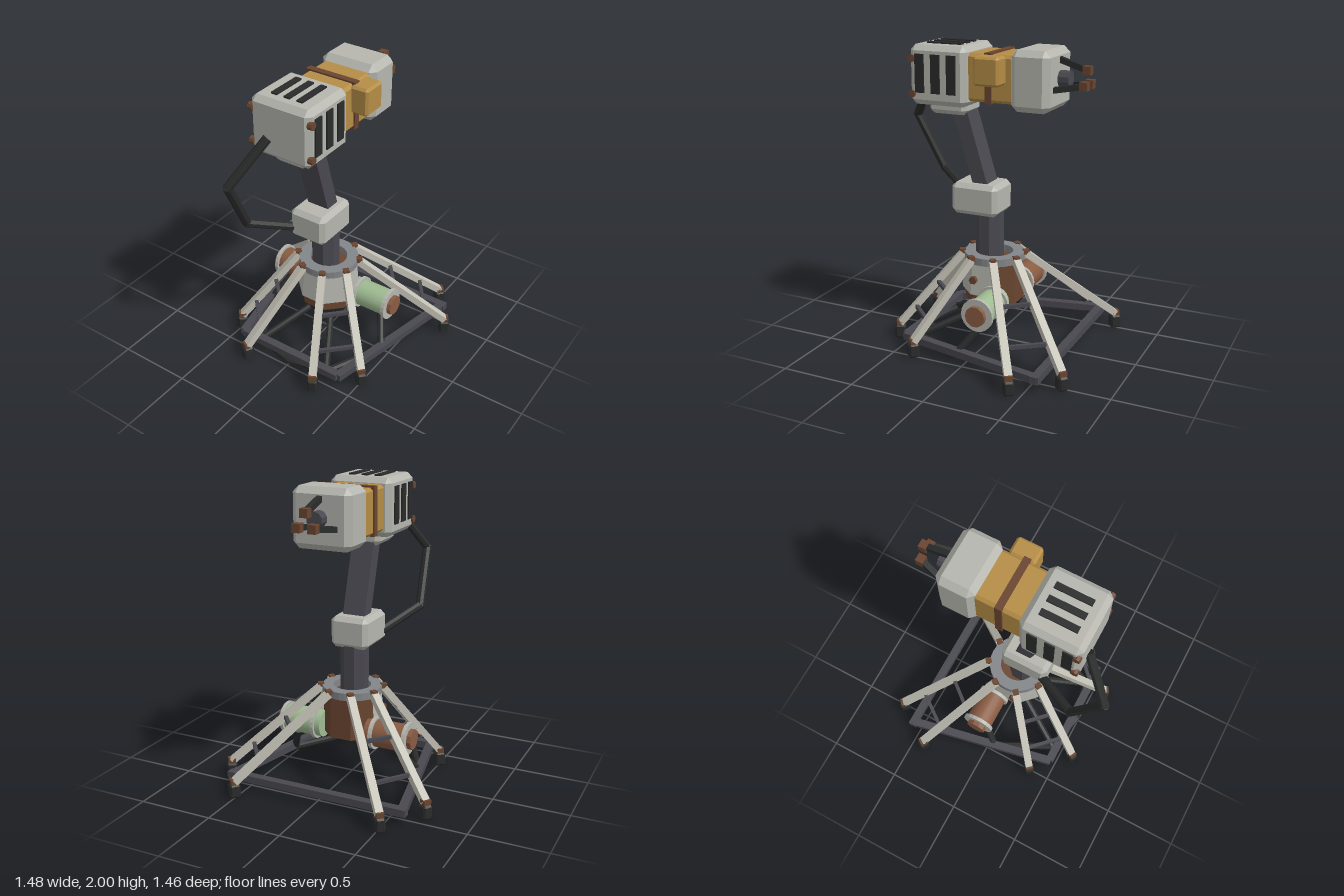
import * as THREE from 'three';
import { ConvexGeometry } from 'three/addons/geometries/ConvexGeometry.js';

const mat = (name, color) => {
  const m = new THREE.MeshStandardMaterial({ color });
  m.name = name;
  return m;
};

export function createModel() {
  const root = new THREE.Group();
  root.name = 'robotArmOnLegs';
  const shell = mat('shell grey', 0xb6b6af);
  const bone = mat('leg bone', 0xc3c1b5);
  const gold = mat('gold', 0xb58d46);
  const brown = mat('dark brown', 0x6a4530);
  const rust = mat('rust brown', 0x8a5c43);
  const dark = mat('dark frame', 0x4a4850);
  const black = mat('black', 0x2a2b2b);
  const green = mat('pale green', 0x9fbc92);
  const steel = mat('steel', 0x83868a);
  const V = (p) => new THREE.Vector3(...p);

  const add = (name, geo, material, pos = [0, 0, 0], parent = root) => {
    const m = new THREE.Mesh(geo, material);
    m.name = name;
    m.position.set(...pos);
    parent.add(m);
    return m;
  };

  // Box between two corners with all edges bevelled by c
  const bevelBox = (name, material, lo, hi, c, parent = root) => {
    const mid = lo.map((v, i) => (v + hi[i]) / 2);
    const h = lo.map((v, i) => (hi[i] - v) / 2);
    const pts = [];
    for (const x of [-1, 1]) for (const y of [-1, 1]) for (const z of [-1, 1]) {
      for (let k = 0; k < 3; k++) {
        pts.push(V([x, y, z].map((s, i) => s * (h[i] - (i === k ? 0 : c)))));
      }
    }
    return add(name, new ConvexGeometry(pts), material, mid, parent);
  };

  const box = (name, material, lo, hi) => add(name,
    new THREE.BoxGeometry(...lo.map((v, i) => hi[i] - v)), material, lo.map((v, i) => (v + hi[i]) / 2));

  // Square beam from a to b
  const beam = (name, material, a, b, w, d = w) => {
    const A = V(a), B = V(b);
    const m = add(name, new THREE.BoxGeometry(w, d, A.distanceTo(B)), material,
      A.clone().add(B).multiplyScalar(0.5).toArray());
    m.lookAt(B);
    return m;
  };

  const flat = (geo) => {
    const g = geo.toNonIndexed();
    g.computeVertexNormals();
    return g;
  };

  // Faceted hose through a few points
  const hose = (name, points, r) => {
    const g = new THREE.Group();
    g.name = name;
    root.add(g);
    for (let i = 0; i + 1 < points.length; i++) {
      const A = V(points[i]), B = V(points[i + 1]);
      const geo = flat(new THREE.CylinderGeometry(r, r, A.distanceTo(B) + r * 0.6, 8));
      const m = add(name + 'Section', geo, black, A.clone().add(B).multiplyScalar(0.5).toArray(), g);
      m.quaternion.setFromUnitVectors(new THREE.Vector3(0, 1, 0), B.sub(A).normalize());
    }
  };

  // Cylinder lying along x
  const barrel = (name, material, r, x0, x1, y, z, sides) => {
    const m = add(name, flat(new THREE.CylinderGeometry(r, r, Math.abs(x1 - x0), sides)), material, [(x0 + x1) / 2, y, z]);
    m.rotation.z = Math.PI / 2;
    return m;
  };

  // Head
  bevelBox('headFront', shell, [-0.215, 1.61, 0.1], [0.215, 1.99, 0.5], 0.035);
  bevelBox('headMiddle', gold, [-0.17, 1.65, -0.21], [0.17, 1.95, 0.13], 0.02);
  box('headBand', brown, [-0.18, 1.645, -0.06], [0.18, 1.96, -0.015]);
  bevelBox('headRear', shell, [-0.2, 1.61, -0.445], [0.2, 1.99, -0.187], 0.04);
  bevelBox('sidePod', gold, [0.16, 1.77, -0.155], [0.285, 1.95, 0.015], 0.015);
  bevelBox('headCollar', shell, [-0.115, 1.54, 0.15], [0.115, 1.68, 0.42], 0.03);
  for (const x of [-0.09, 0, 0.09]) box('topVent', black, [x - 0.021, 1.985, 0.18], [x + 0.021, 2, 0.42]);
  for (const s of [-1, 1]) {
    for (const z of [0.42, 0.308, 0.197]) {
      const m = add('sideVent', new THREE.BoxGeometry(0.015, 0.245, 0.063), black, [s * 0.217, 1.812, z]);
      m.name = s > 0 ? 'leftSideVent' : 'rightSideVent';
    }
    for (const y of [1.905, 1.68]) barrel('headBolt', brown, 0.025, s * 0.195, s * 0.228, y, 0.475, 8);
  }

  // Three-fingered gripper
  const cy = 1.808;
  const wrist = add('wrist', flat(new THREE.CylinderGeometry(0.052, 0.052, 0.08, 10)), dark, [0, cy, -0.475]);
  wrist.rotation.x = Math.PI / 2;
  for (let i = 0; i < 3; i++) {
    const a = Math.PI / 2 + i * Math.PI * 2 / 3, c = Math.cos(a), s = Math.sin(a);
    beam('finger', black, [c * 0.12, cy + s * 0.12, -0.43], [c * 0.065, cy + s * 0.065, -0.605], 0.036);
    add('fingerTip', new THREE.BoxGeometry(0.054, 0.054, 0.05), brown, [c * 0.06, cy + s * 0.06, -0.62]);
  }

  // Arm, elbow and column
  beam('upperArm', dark, [0, 1.0, 0.04], [0, 1.6, 0.221], 0.155, 0.1);
  bevelBox('elbow', shell, [-0.132, 0.89, -0.07], [0.132, 1.1, 0.257], 0.03);
  const column = add('column', flat(new THREE.CylinderGeometry(0.094, 0.094, 0.35, 8)), dark, [0, 0.73, 0.035]);
  column.rotation.y = Math.PI / 8;
  hose('armHose', [[-0.09, 1.735, 0.505], [-0.24, 1.45, 0.7], [-0.27, 1.08, 0.51], [-0.11, 0.955, 0.23]], 0.03);

  // Hub: brown core, grey front shell and steel ring
  const core = add('hubCore', flat(new THREE.CylinderGeometry(0.19, 0.195, 0.28, 8)), brown, [0, 0.44, 0]);
  core.rotation.y = Math.PI / 8;
  const e = Math.PI / 8;
  const hull = new THREE.LatheGeometry([[0.15, 0.37], [0.215, 0.37], [0.195, 0.59], [0.15, 0.59]]
    .map((p) => new THREE.Vector2(...p)), 5, -5 * e, 10 * e);
  const shellSide = shell.clone();
  shellSide.name = 'shell grey two sided';
  shellSide.side = THREE.DoubleSide;
  add('hubShell', flat(hull), shellSide);
  for (const s of [-1, 1]) barrel('hubBolt', brown, 0.027, s * 0.17, s * 0.215, 0.475, 0.06, 6);
  const ringShape = new THREE.Shape().absarc(0, 0, 0.2, 0, Math.PI * 2);
  ringShape.holes.push(new THREE.Path().absarc(0, 0, 0.125, 0, Math.PI * 2, true));
  const ring = add('hubRing', new THREE.ExtrudeGeometry(ringShape, { depth: 0.05, bevelEnabled: false, curveSegments: 16 }), steel, [0, 0.58, 0]);
  ring.rotation.x = -Math.PI / 2;

  // Side canisters
  for (const s of [-1, 1]) {
    const n = s > 0 ? 'left' : 'right';
    const body = add(n + 'Canister', new THREE.CylinderGeometry(0.092, 0.092, 0.28, 20), s > 0 ? green : rust, [s * 0.3, 0.35, -0.088]);
    body.rotation.z = Math.PI / 2;
    for (const x of [0.212, 0.443]) barrel(n + 'CanisterFlange', shell, 0.109, s * (x - 0.012), s * (x + 0.012), 0.35, -0.088, 20);
    barrel(n + 'CanisterCap', rust, 0.068, s * 0.45, s * 0.484, 0.35, -0.088, 10);
  }

  // Eight legs in four pairs joined by rungs
  for (const s of [-1, 1]) {
    const pairs = [
      [[[0.194, -0.08], [0.7, -0.42]], [[0.08, -0.194], [0.51, -0.69]]],
      [[[0.194, 0.08], [0.5, 0.35]], [[0.08, 0.194], [0.272, 0.58]]],
    ];
    for (const pair of pairs) {
      const lines = pair.map(([t, f]) => [[s * t[0], 0.61, t[1]], [s * f[0], 0.105, f[1]]]);
      for (const [top, foot] of lines) {
        const yaw = Math.atan2(foot[0] - top[0], foot[2] - top[2]);
        beam('leg', bone, top, foot, 0.05, 0.045);
        add('legBracket', new THREE.BoxGeometry(0.04, 0.03, 0.04), brown, [top[0], 0.622, top[2]]).rotation.y = yaw;
        add('ankle', new THREE.BoxGeometry(0.05, 0.04, 0.05), brown, [foot[0], 0.107, foot[2]]).rotation.y = yaw;
        const pad = bevelBox('foot', black, [-0.033, 0, -0.036], [0.033, 0.095, 0.036], 0.012);
        pad.position.set(foot[0], 0.0475, foot[2]);
        pad.rotation.y = yaw;
      }
      for (const t of [0.4, 0.75]) {
        const [p, q] = lines.map(([a, b]) => V(a).lerp(V(b), t).toArray());
        beam('rung', dark, p, q, 0.024);
      }
    }
  }

  // Ground frame with a front bow and hoses
  const y = 0.083;
  beam('frameBack', dark, [-0.63, y, -0.555], [0.63, y, -0.555], 0.055, 0.048);
  beam('frameFront', dark, [-0.39, y, 0.46], [0.39, y, 0.46], 0.055, 0.048);
  for (const s of [-1, 1]) {
    beam('frameSide', dark, [s * 0.605, y, -0.575], [s * 0.39, y, 0.47], 0.055, 0.046);
    hose('frontHose', [[s * 0.09, 0.205, 0.11], [s * 0.27, 0.05, 0.42]], 0.024);
    hose('sideHose', [[s * 0.37, 0.26, -0.09], [s * 0.47, 0.07, 0.05]], 0.024);
  }
  hose('frontBow', [[-0.48, 0.065, 0.03], [-0.28, 0.042, 0.42], [0, 0.04, 0.485], [0.28, 0.042, 0.42], [0.48, 0.065, 0.03]], 0.024);

  return root;
}
